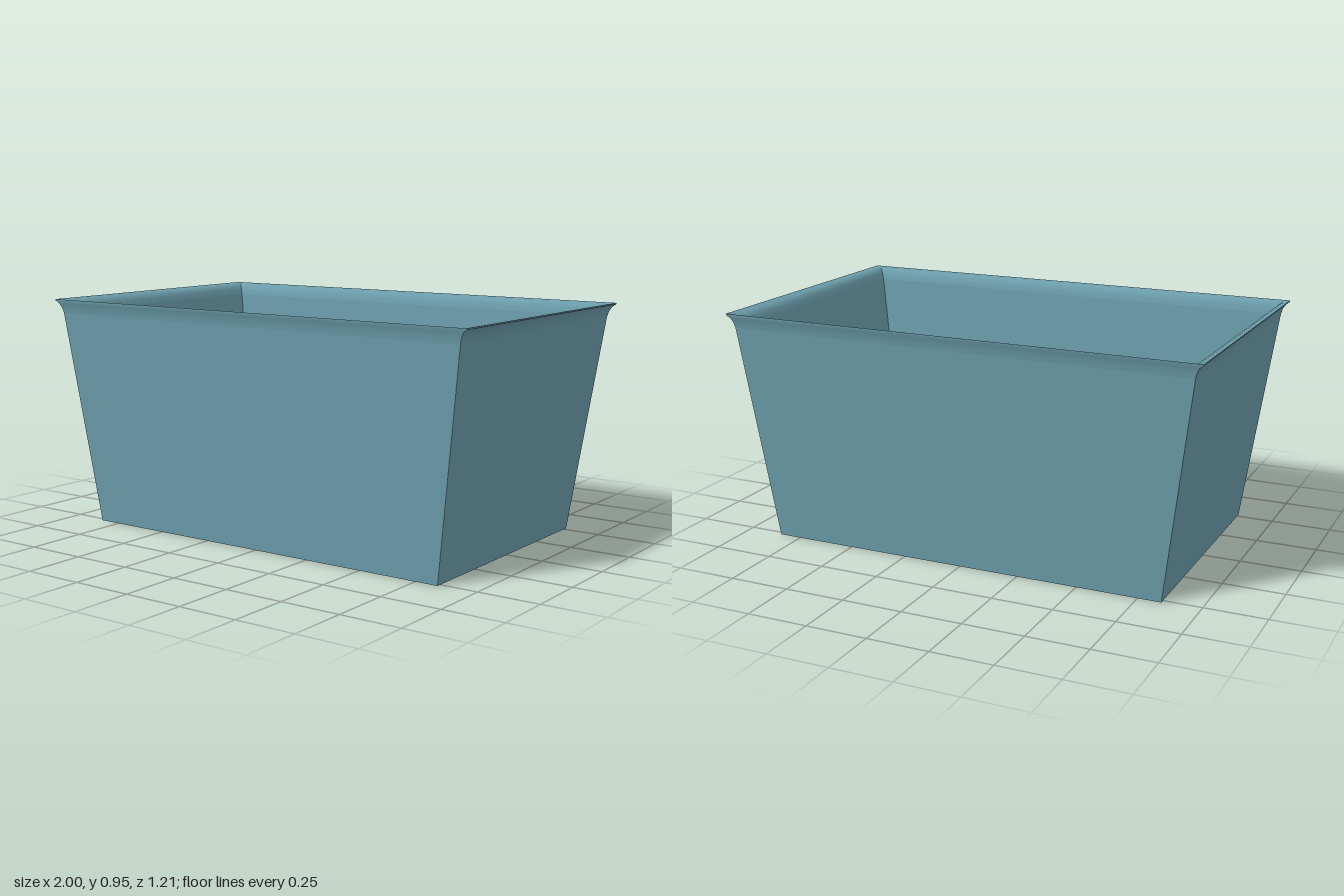
import * as THREE from 'three';
import { toCreasedNormals } from 'three/addons/utils/BufferGeometryUtils.js';

const material = new THREE.MeshStandardMaterial({ color: 0x6b9caa });

// Rectangular rings [half width, height, half depth]
const outerWall = [[0.845, 0, 0.52], [0.967, 0.895, 0.591]];
const rim = [
  outerWall[1],
  [0.973, 0.918, 0.595], [0.984, 0.937, 0.601], [1, 0.949, 0.606], // flare outside
  [1, 0.954, 0.606],
  [0.982, 0.951, 0.594], [0.964, 0.942, 0.581], [0.952, 0.926, 0.571], // flare inside
  [0.944, 0.9, 0.565],
];
const innerWall = [rim[rim.length - 1], [0.822, 0.02, 0.495]];

// Skins a list of rectangular rings, with mitred corners
function ringSkin(name, rings) {
  const corners = [[-1, 1], [1, 1], [1, -1], [-1, -1]];
  const point = ([w, y, d], k) => [corners[k % 4][0] * w, y, corners[k % 4][1] * d];
  const positions = [];
  for (let i = 0; i < rings.length - 1; i++) {
    for (let k = 0; k < 4; k++) {
      const a = point(rings[i], k), b = point(rings[i], k + 1);
      const c = point(rings[i + 1], k + 1), d = point(rings[i + 1], k);
      positions.push(...a, ...b, ...c, ...a, ...c, ...d);
    }
  }
  const geometry = new THREE.BufferGeometry();
  geometry.setAttribute('position', new THREE.Float32BufferAttribute(positions, 3));
  const mesh = new THREE.Mesh(toCreasedNormals(geometry, Math.PI / 5), material);
  mesh.name = name;
  return mesh;
}

// Flat panel closing a ring, facing up or down
function panel(name, [w, y, d], facing) {
  const geometry = new THREE.PlaneGeometry(2 * w, 2 * d).rotateX(-facing * Math.PI / 2);
  const mesh = new THREE.Mesh(geometry, material);
  mesh.position.y = y;
  mesh.name = name;
  return mesh;
}

export function createModel() {
  const bin = new THREE.Group();
  bin.name = 'taperedBin';
  bin.add(
    ringSkin('outerWalls', outerWall),
    ringSkin('flaredRim', rim),
    ringSkin('innerWalls', innerWall),
    panel('insideFloor', innerWall[1], 1),
    panel('underside', outerWall[0], -1),
  );
  return bin;
}
